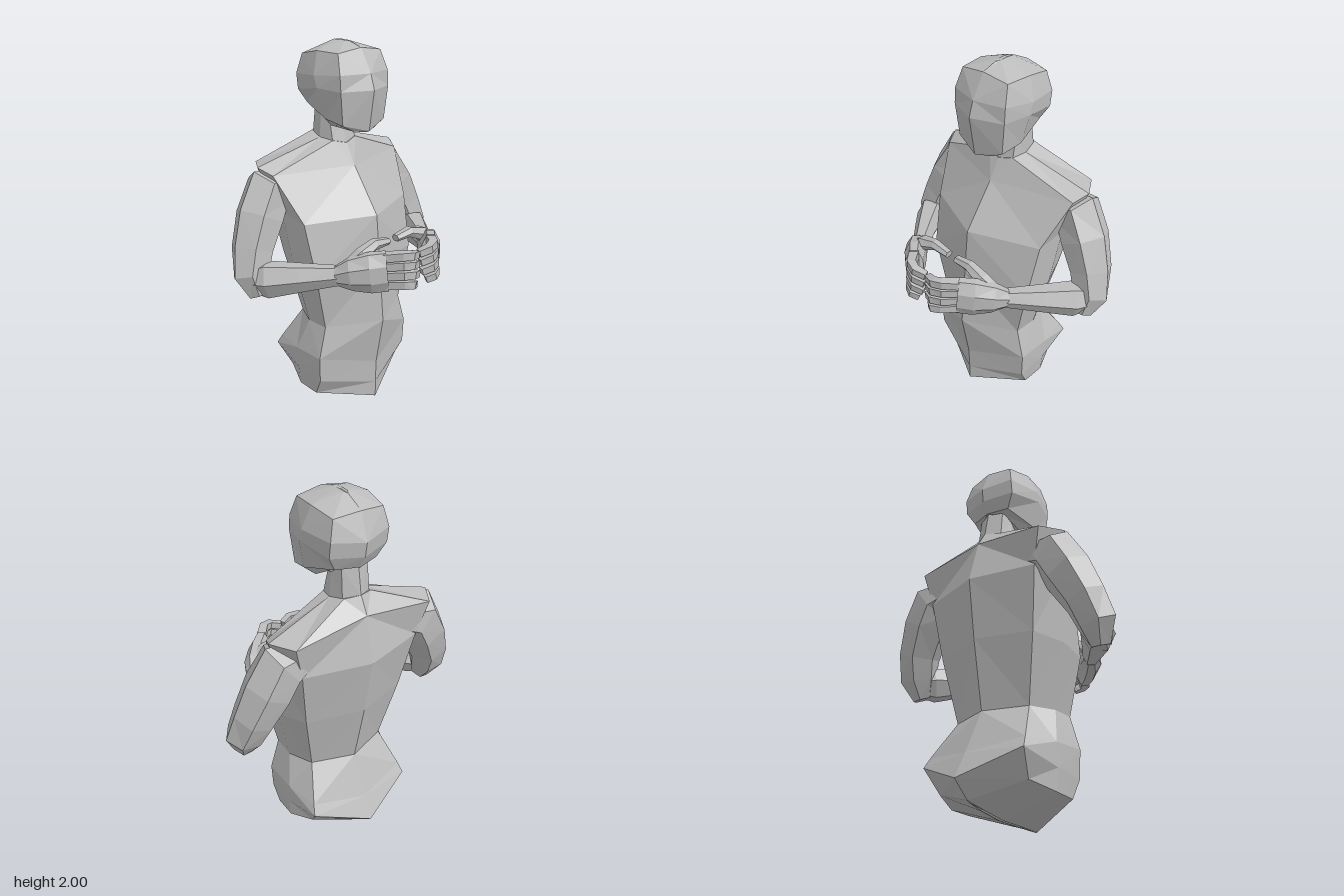
import * as THREE from 'three';

const skin = new THREE.MeshStandardMaterial({ color: 0xbcbcbc, flatShading: true });
skin.name = 'plain grey';

// Joins rings of points into a closed faceted surface with fanned ends
function loft(name, rings) {
  const pos = [];
  const tri = (a, b, c) => [a, b, c].forEach((p) => pos.push(p.x, p.y, p.z));
  const n = rings[0].length;
  for (let r = 0; r < rings.length - 1; r++) {
    for (let i = 0; i < n; i++) {
      const j = (i + 1) % n;
      const [a, b, c, d] = [rings[r][i], rings[r][j], rings[r + 1][j], rings[r + 1][i]];
      // split along the shorter diagonal, so both halves match
      if (a.distanceTo(c) < b.distanceTo(d)) {
        tri(a, b, c);
        tri(a, c, d);
      } else {
        tri(a, b, d);
        tri(b, c, d);
      }
    }
  }
  const cap = (ring, flip) => {
    const mid = ring.reduce((s, p) => s.add(p), new THREE.Vector3()).divideScalar(n);
    ring.forEach((p, i) => {
      const q = ring[(i + 1) % n];
      flip ? tri(mid, q, p) : tri(mid, p, q);
    });
  };
  cap(rings[0], true);
  cap(rings[rings.length - 1], false);
  const geo = new THREE.BufferGeometry();
  geo.setAttribute('position', new THREE.Float32BufferAttribute(pos, 3));
  geo.computeVertexNormals();
  const mesh = new THREE.Mesh(geo, skin);
  mesh.name = name;
  return mesh;
}

// Half ring from front centre round the left to back centre, mirrored to a full one
function fullRing(half) {
  const left = half.map((p) => new THREE.Vector3(...p));
  const right = left.slice(1, -1).reverse().map((p) => new THREE.Vector3(-p.x, p.y, p.z));
  return [...left, ...right];
}

// Limb along stations [x, y, z, half width, half height]
function limb(name, stations, up, sides, mirror, turn = 0) {
  const pts = stations.map((s) => new THREE.Vector3(s[0], s[1], s[2]));
  const rings = stations.map((s, i) => {
    const t = pts[Math.min(i + 1, pts.length - 1)].clone().sub(pts[Math.max(i - 1, 0)]).normalize();
    const side = up.clone().cross(t).normalize();
    const v = t.clone().cross(side);
    const ring = [];
    for (let k = 0; k < sides; k++) {
      const a = (k / sides) * Math.PI * 2 + turn;
      const p = pts[i].clone()
        .addScaledVector(side, Math.cos(a) * s[3])
        .addScaledVector(v, Math.sin(a) * s[4]);
      if (mirror) p.x = -p.x;
      ring.push(p);
    }
    return mirror ? ring.reverse() : ring;
  });
  return loft(name, rings);
}

const Y = new THREE.Vector3(0, 1, 0);
const Z = new THREE.Vector3(0, 0, 1);

function makeArm(mirror) {
  const arm = new THREE.Group();
  arm.name = mirror ? 'rightArm' : 'leftArm';
  arm.add(limb('upperArm', [
    [0.3, 1.28, -0.26, 0.09, 0.09],
    [0.41, 1.265, -0.255, 0.14, 0.12],
    [0.485, 1.14, -0.24, 0.13, 0.13],
    [0.56, 0.985, -0.215, 0.11, 0.115],
    [0.597, 0.86, -0.18, 0.103, 0.095],
    [0.59, 0.76, -0.14, 0.05, 0.06],
  ], Z, 6, mirror));
  arm.add(limb('forearm', [
    [0.6, 0.84, -0.17, 0.06, 0.07],
    [0.55, 0.85, -0.1, 0.085, 0.1],
    [0.445, 0.872, 0.035, 0.066, 0.078],
    [0.325, 0.895, 0.185, 0.044, 0.055],
  ], Y, 6, mirror));
  arm.add(limb('palm', [
    [0.33, 0.893, 0.18, 0.044, 0.055],
    [0.29, 0.91, 0.24, 0.06, 0.09],
    [0.225, 0.92, 0.31, 0.06, 0.112],
    [0.163, 0.928, 0.367, 0.05, 0.112],
  ], Y, 8, mirror, Math.PI / 8));

  // Four curled fingers, lower ones set further forward, the lowest one shortest
  [1.005, 0.957, 0.907, 0.858].forEach((y, i) => {
    const tip = 0.008 + (i === 3 ? 0.035 : i * 0.004);
    const out = i * 0.007;
    arm.add(limb('finger', [
      [0.175, y - 0.002, 0.355, 0.036, 0.029],
      [0.115, y + 0.009, 0.425 + out, 0.032, 0.029],
      [0.065 + tip / 3, y + 0.002, 0.442 + out, 0.03, 0.028],
      [tip, y - 0.014, 0.422 + out, 0.024, 0.025],
    ], Y, 4, mirror, Math.PI / 4));
  });
  arm.add(limb('thumb', [
    [0.3, 0.93, 0.22, 0.035, 0.04],
    [0.22, 0.995, 0.245, 0.045, 0.04],
    [0.13, 1.025, 0.24, 0.033, 0.03],
    [0.03, 1.015, 0.238, 0.026, 0.02],
  ], Y, 6, mirror));
  return arm;
}

export function createModel() {
  const model = new THREE.Group();
  model.name = 'bust';

  // Keel under the pelvis, up over the hips and chest to the base of the neck
  model.add(loft('torso', [
    [[0, 0, 0.125], [0.01, 0.01, 0], [0.01, 0.02, -0.15], [0.01, 0.045, -0.28], [0, 0.07, -0.385]],
    [[0, 0.005, 0.13], [0.32, 0.1, -0.02], [0.325, 0.11, -0.15], [0.27, 0.15, -0.29], [0, 0.075, -0.39]],
    [[0, 0.1, 0.13], [0.33, 0.2, 0.03], [0.335, 0.22, -0.15], [0.31, 0.275, -0.375], [0, 0.16, -0.48]],
    [[0, 0.24, 0.135], [0.335, 0.345, 0.035], [0.335, 0.34, -0.16], [0.295, 0.33, -0.345], [0, 0.29, -0.415]],
    [[0, 0.52, 0.185], [0.285, 0.52, 0.03], [0.29, 0.52, -0.1], [0.23, 0.52, -0.23], [0, 0.52, -0.31]],
    [[0, 0.85, 0.155], [0.35, 0.83, 0.045], [0.365, 0.85, -0.12], [0.3, 0.87, -0.29], [0, 0.88, -0.38]],
    [[0, 1.12, 0.13], [0.37, 1.12, -0.02], [0.385, 1.16, -0.18], [0.35, 1.2, -0.34], [0, 1.2, -0.43]],
    [[0, 1.36, -0.04], [0.44, 1.36, -0.17], [0.475, 1.395, -0.25], [0.4, 1.39, -0.37], [0, 1.44, -0.37]],
    [[0, 1.47, -0.1], [0.08, 1.49, -0.12], [0.1, 1.5, -0.2], [0.08, 1.52, -0.29], [0, 1.53, -0.32]],
  ].map(fullRing)));

  model.add(loft('neck', [
    [[0, 1.46, -0.1], [0.08, 1.48, -0.12], [0.1, 1.49, -0.2], [0.08, 1.51, -0.28], [0, 1.52, -0.32]],
    [[0, 1.61, -0.14], [0.075, 1.61, -0.15], [0.09, 1.63, -0.2], [0.075, 1.68, -0.26], [0, 1.69, -0.29]],
  ].map(fullRing)));

  // Jaw up to a short ridge along the crown
  model.add(loft('head', [
    [[0, 1.55, 0.045], [0.08, 1.565, 0.03], [0.11, 1.58, -0.1], [0.08, 1.66, -0.24], [0, 1.68, -0.27]],
    [[0, 1.56, 0.07], [0.145, 1.6, 0.03], [0.165, 1.625, -0.08], [0.12, 1.675, -0.27], [0, 1.67, -0.305]],
    [[0, 1.77, 0.105], [0.165, 1.77, 0.04], [0.2, 1.78, -0.1], [0.165, 1.75, -0.29], [0, 1.735, -0.34]],
    [[0, 1.85, 0.08], [0.165, 1.85, 0.035], [0.2, 1.84, -0.12], [0.165, 1.83, -0.3], [0, 1.81, -0.35]],
    [[0, 1.97, 0.01], [0.145, 1.95, 0], [0.16, 1.955, -0.14], [0.14, 1.93, -0.28], [0, 1.945, -0.3]],
    [[0, 1.995, -0.07], [0.01, 1.998, -0.1], [0.01, 2, -0.14], [0.01, 1.998, -0.18], [0, 1.992, -0.2]],
  ].map(fullRing)));

  model.add(makeArm(false), makeArm(true));
  return model;
}
